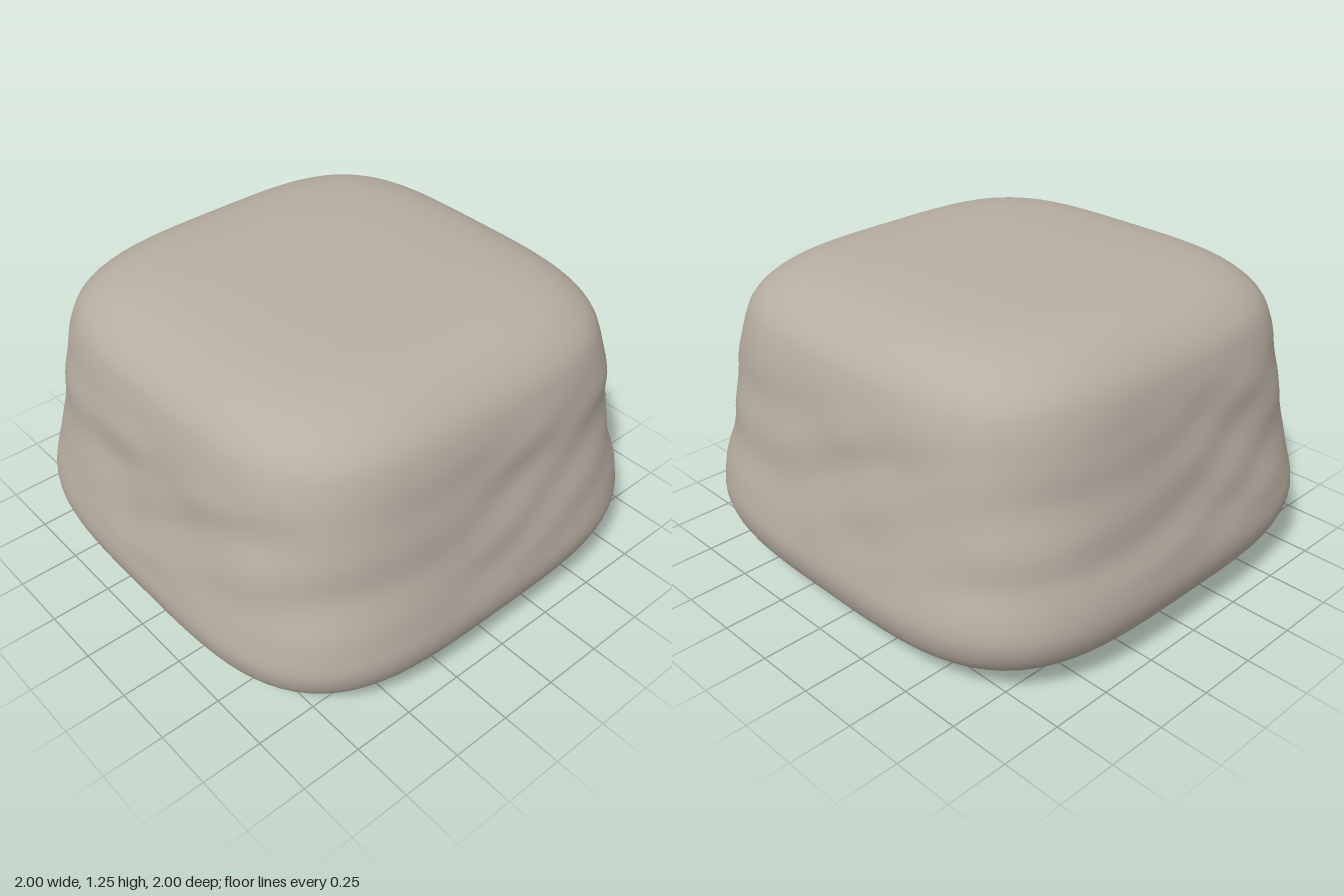
import * as THREE from 'three';

const SIDES = 128;
const RINGS = 110;
const POWER = 3.7; // squareness of the plan outline

// Half-width and height, from the underside up to the crown
const profile = [
  [0, 0], [0.3, 0.003], [0.6, 0.017], [0.8, 0.055], [0.9, 0.095], [0.96, 0.155],
  [0.99, 0.22], [1, 0.285], [0.985, 0.39], [0.96, 0.5], [0.937, 0.62], [0.915, 0.75],
  [0.9, 0.88], [0.875, 1.0], [0.845, 1.08], [0.8, 1.135], [0.72, 1.19], [0.6, 1.227],
  [0.4, 1.248], [0.2, 1.254], [0, 1.255],
].map(([r, y]) => new THREE.Vector3(r, y, 0));

// Soft, slanting weathered ridges, limited to the side walls
function weathering(angle, y) {
  const fade = THREE.MathUtils.smoothstep(y, 0.28, 0.5) * (1 - THREE.MathUtils.smoothstep(y, 0.8, 1.05));
  const ridges =
    Math.sin(15 * y + 3 * Math.sin(2 * angle + 0.6) + 1.2 * Math.sin(5 * angle)) +
    0.7 * Math.sin(25 * y + 7 * angle + 1.5 * Math.sin(4 * angle + 1)) +
    0.5 * Math.sin(13 * angle - 11 * y);
  return 0.0045 * fade * ridges;
}

// Stacked rounded-square rings, closed by one vertex at each end
function stoneGeometry() {
  const curve = new THREE.CatmullRomCurve3(profile, false, 'centripetal');
  const positions = [0, 0, 0];
  const indices = [];
  for (let i = 1; i < RINGS; i++) {
    const p = curve.getPointAt(i / RINGS);
    for (let j = 0; j < SIDES; j++) {
      const a = (j / SIDES) * Math.PI * 2;
      const c = Math.cos(a), s = Math.sin(a);
      const square = (Math.abs(c) ** POWER + Math.abs(s) ** POWER) ** (-1 / POWER);
      const r = p.x * square + weathering(a, p.y);
      positions.push(r * c, Math.max(p.y, 0), r * s);
    }
  }
  const top = positions.length / 3;
  positions.push(0, 1.255, 0);

  const at = (ring, j) => 1 + ring * SIDES + (j % SIDES);
  const last = RINGS - 2;
  for (let j = 0; j < SIDES; j++) {
    indices.push(0, at(0, j), at(0, j + 1));
    for (let i = 0; i < last; i++) {
      const a = at(i, j), b = at(i, j + 1), c = at(i + 1, j), d = at(i + 1, j + 1);
      indices.push(a, c, b, b, c, d);
    }
    indices.push(top, at(last, j + 1), at(last, j));
  }

  const geometry = new THREE.BufferGeometry();
  geometry.setAttribute('position', new THREE.Float32BufferAttribute(positions, 3));
  geometry.setIndex(indices);
  geometry.computeVertexNormals();
  return geometry;
}

export function createModel() {
  const stone = new THREE.MeshStandardMaterial({ color: 0xb8aea2 });
  stone.name = 'stone';

  const block = new THREE.Mesh(stoneGeometry(), stone);
  block.name = 'stoneBlock';

  const group = new THREE.Group();
  group.name = 'roundedStone';
  group.add(block);
  return group;
}
